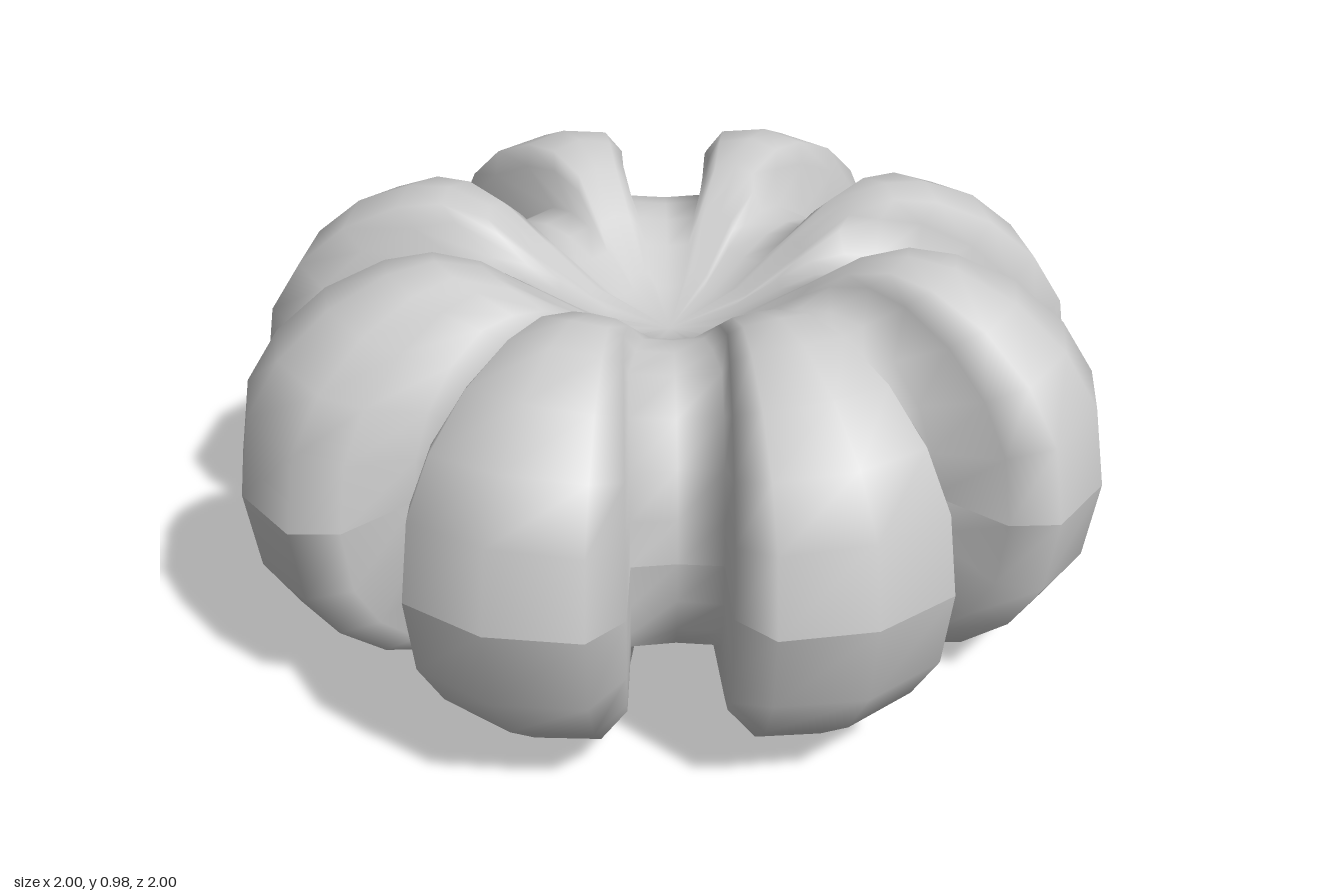
import * as THREE from 'three';

// Half profiles [radius, height above the equator], from equator to the central dimple
const LOBE = [[1.05, 0], [1.02, 0.19], [0.94, 0.315], [0.82, 0.415], [0.68, 0.475],
  [0.57, 0.4875], [0.46, 0.455], [0.34, 0.37], [0.2, 0.275]];
const GROOVE = [[0.71, 0], [0.70, 0.1], [0.66, 0.2], [0.59, 0.285], [0.5, 0.34],
  [0.42, 0.355], [0.34, 0.345], [0.26, 0.31], [0.15, 0.25]];
const CENTRE_Y = 0.21;
const LOBES = 8;
const HALF = Math.PI / LOBES;

// Angle that keeps the groove at a constant width, limited near the middle
const wallAngle = (width, r, limit) => Math.min(Math.asin(Math.min(1, width / r)), limit * HALF);

// Columns across half a lobe: blend from groove (0) to lobe crest (1), and angle at radius r
const shoulder = (r) => wallAngle(0.11, r, 0.6);
const COLUMNS = [
  { blend: 0, angle: () => 0 },
  { blend: 0.05, angle: (r) => wallAngle(0.1, r, 0.5) },
  { blend: 0.64, angle: shoulder },
  { blend: 0.91, angle: (r) => shoulder(r) + 0.29 * (HALF - shoulder(r)) },
  { blend: 1, angle: () => HALF },
];

function halfGeometry() {
  const positions = [];
  const index = [];
  const count = LOBES * 8;
  const rings = LOBE.length;
  for (let i = 0; i < rings; i++) {
    for (let j = 0; j < count; j++) {
      const k = j % 8;
      const mirrored = k > 4;
      const { blend, angle } = COLUMNS[mirrored ? 8 - k : k];
      const r = THREE.MathUtils.lerp(GROOVE[i][0], LOBE[i][0], blend);
      const y = THREE.MathUtils.lerp(GROOVE[i][1], LOBE[i][1], blend);
      const local = mirrored ? 2 * HALF - angle(r) : angle(r);
      const a = Math.floor(j / 8) * 2 * HALF + local;
      positions.push(r * Math.sin(a), y, r * Math.cos(a));
    }
  }
  positions.push(0, CENTRE_Y, 0);
  for (let i = 0; i < rings; i++) {
    for (let j = 0; j < count; j++) {
      const a = i * count + j;
      const b = i * count + (j + 1) % count;
      if (i === rings - 1) index.push(a, b, rings * count); // dimple fan
      else index.push(a, b, b + count, a, b + count, a + count);
    }
  }
  const geometry = new THREE.BufferGeometry();
  geometry.setAttribute('position', new THREE.Float32BufferAttribute(positions, 3));
  geometry.setIndex(index);
  geometry.computeVertexNormals();
  return geometry;
}

export function createModel() {
  const model = new THREE.Group();
  model.name = 'lobedRing';
  const grey = new THREE.MeshStandardMaterial({ color: 0xcccccc });
  grey.name = 'lightGrey';
  const geometry = halfGeometry();

  // Two identical halves meet at a seam around the equator
  for (const [name, turn] of [['upperLobes', 0], ['lowerLobes', Math.PI]]) {
    const half = new THREE.Mesh(geometry, grey);
    half.name = name;
    half.rotation.x = turn;
    half.position.y = 0.4875;
    model.add(half);
  }
  return model;
}
